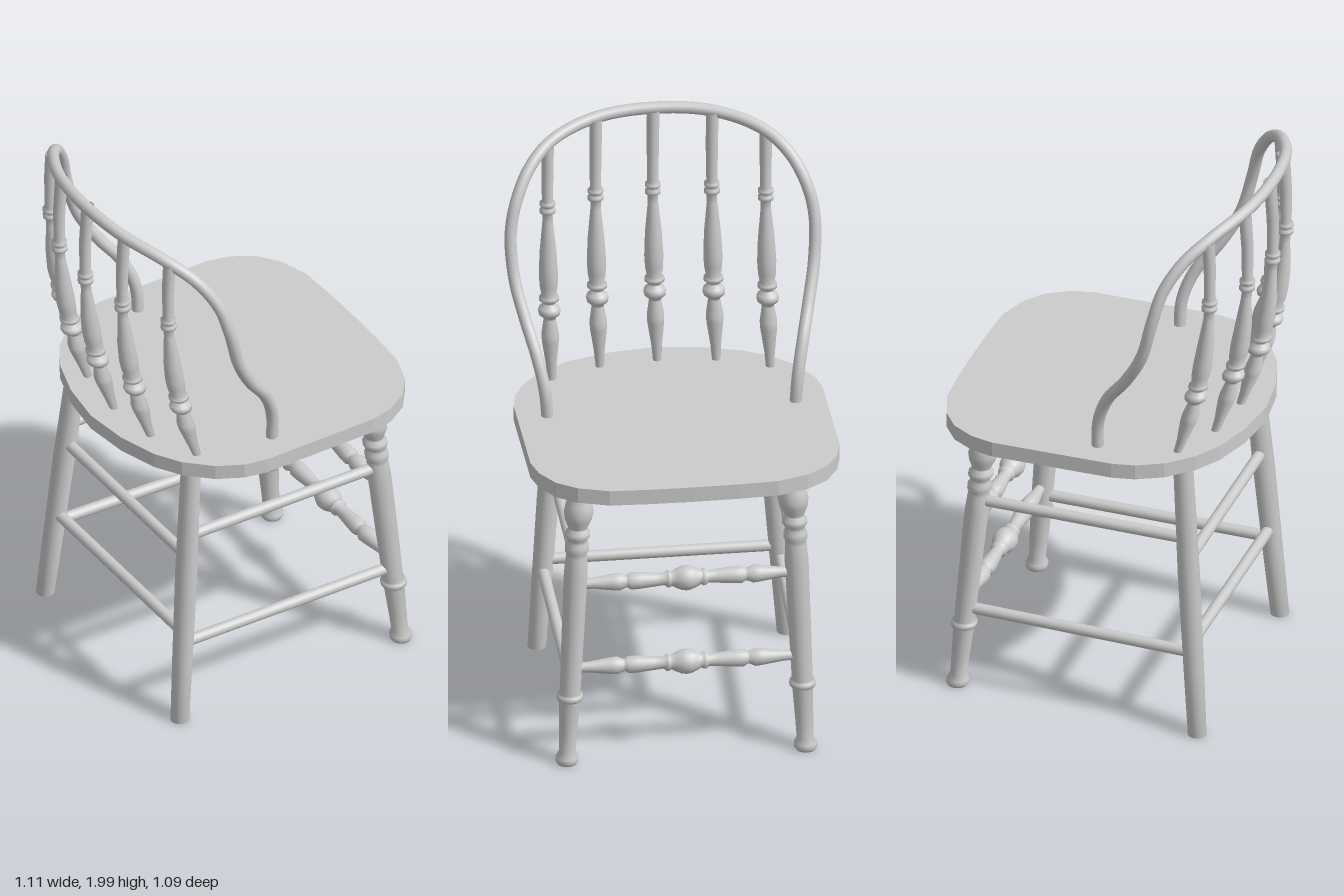
import * as THREE from 'three';

const material = new THREE.MeshStandardMaterial({ color: 0xcccccc, side: THREE.DoubleSide });
const V = (x, y, z) => new THREE.Vector3(x, y, z);

function part(name, geometry) {
  const mesh = new THREE.Mesh(geometry, material);
  mesh.name = name;
  return mesh;
}

// Turned profile [radius, y] whose axis follows path(y) -> [x, z]
function turned(name, profile, path) {
  const g = new THREE.LatheGeometry(profile.map(([r, y]) => new THREE.Vector2(r, y)), 20);
  const p = g.attributes.position;
  for (let i = 0; i < p.count; i++) {
    const [x, z] = path(p.getY(i));
    p.setX(i, p.getX(i) + x);
    p.setZ(i, p.getZ(i) + z);
  }
  return part(name, g);
}

// Turned rail between two points; profile is [radius, fraction of the length]
function rail(name, profile, a, b) {
  const length = a.distanceTo(b);
  const g = new THREE.LatheGeometry(profile.map(([r, t]) => new THREE.Vector2(r, t * length)), 18);
  const mesh = part(name, g);
  mesh.position.copy(a);
  mesh.quaternion.setFromUnitVectors(V(0, 1, 0), b.clone().sub(a).normalize());
  return mesh;
}

const frontLegProfile = [
  [0, 0.01], [0.033, 0.01], [0.039, 0.02], [0.039, 0.035], [0.029, 0.055], [0.031, 0.12], [0.036, 0.238],
  [0.044, 0.244], [0.046, 0.253], [0.044, 0.262], [0.036, 0.268], [0.039, 0.5], [0.041, 0.7], [0.037, 0.765],
  [0.035, 0.775], [0.041, 0.785], [0.041, 0.805], [0.034, 0.815], [0.036, 0.828], [0.043, 0.838],
  [0.043, 0.852], [0.033, 0.865], [0.034, 0.872], [0.046, 0.9], [0.051, 0.925], [0.046, 0.955],
  [0.032, 0.995], [0.028, 1.03],
];
const backLegProfile = [[0, 0.01], [0.032, 0.01], [0.035, 0.25], [0.038, 0.6], [0.034, 1.03]];

const halfRail = [
  [0.016, 0], [0.019, 0.08], [0.029, 0.17], [0.031, 0.2], [0.022, 0.225], [0.022, 0.235], [0.03, 0.25],
  [0.029, 0.29], [0.024, 0.36], [0.021, 0.4], [0.03, 0.415], [0.03, 0.425], [0.025, 0.435],
  [0.034, 0.455], [0.042, 0.48], [0.044, 0.5],
];
const turnedRail = [...halfRail, ...halfRail.slice(0, -1).reverse().map(([r, t]) => [r, 1 - t])];
const plainRail = [[0, 0], [0.02, 0], [0.02, 1], [0, 1]];

const spindleProfile = [
  [0.014, 1.06], [0.018, 1.12], [0.029, 1.2], [0.03, 1.225], [0.021, 1.275], [0.022, 1.282], [0.036, 1.293],
  [0.039, 1.305], [0.035, 1.317], [0.022, 1.328], [0.023, 1.335], [0.034, 1.342], [0.034, 1.352],
  [0.026, 1.36], [0.031, 1.39], [0.033, 1.43], [0.029, 1.51], [0.018, 1.62], [0.018, 1.65], [0.027, 1.656],
  [0.027, 1.667], [0.022, 1.672], [0.022, 1.678], [0.027, 1.683], [0.027, 1.692], [0.019, 1.7],
];

export function createModel() {
  const chair = new THREE.Group();
  chair.name = 'chair';

  // Seat: rounded plan, flat slab
  const half = [
    [0.555, 0], [0.553, 0.15], [0.546, 0.29], [0.51, 0.395], [0.458, 0.465], [0.38, 0.512], [0.3, 0.531],
    [-0.13, 0.531], [-0.21, 0.516], [-0.3, 0.47], [-0.385, 0.39], [-0.44, 0.3], [-0.485, 0.16], [-0.505, 0],
  ];
  const outline = [...half, ...half.slice(1, -1).reverse().map(([x, z]) => [x, -z])];
  const seat = new THREE.ExtrudeGeometry(
    new THREE.Shape(outline.map(([x, z]) => new THREE.Vector2(x, z))), { depth: 0.055, bevelEnabled: false });
  seat.rotateX(-Math.PI / 2).translate(0, 1.02, 0);
  chair.add(part('seat', seat));

  // Legs: splayed axes, [x, z] at the floor and at the seat
  const axis = (foot, top) => (y) => foot.map((f, i) => f + (top[i] - f) * (y / 1.02));
  const legs = {
    frontLeft: axis([0.474, -0.392], [0.382, -0.358]),
    frontRight: axis([0.474, 0.43], [0.382, 0.372]),
    backLeft: axis([-0.41, -0.443], [-0.33, -0.36]),
    backRight: axis([-0.41, 0.415], [-0.33, 0.36]),
  };
  for (const [name, path] of Object.entries(legs)) {
    chair.add(turned(name + 'Leg', name.startsWith('front') ? frontLegProfile : backLegProfile, path));
  }

  // Stretchers between the legs, in two tiers
  const stretcher = (name, profile, from, to, y) => {
    const [ax, az] = legs[from](y), [bx, bz] = legs[to](y);
    chair.add(rail(name, profile, V(ax, y, az), V(bx, y, bz)));
  };
  for (const y of [0.66, 0.355]) {
    stretcher('frontStretcher', turnedRail, 'frontLeft', 'frontRight', y);
    stretcher('backStretcher', plainRail, 'backLeft', 'backRight', y);
  }
  for (const y of [0.74, 0.315]) {
    stretcher('leftStretcher', plainRail, 'backLeft', 'frontLeft', y);
    stretcher('rightStretcher', plainRail, 'backRight', 'frontRight', y);
  }

  // Bent hoop of the back, mirrored about its crown
  const bow = [
    [-0.045, 1.05, 0.425], [-0.05, 1.17, 0.435], [-0.09, 1.28, 0.457], [-0.17, 1.39, 0.488],
    [-0.235, 1.51, 0.515], [-0.275, 1.66, 0.522], [-0.305, 1.77, 0.498], [-0.36, 1.865, 0.445],
    [-0.43, 1.928, 0.36], [-0.505, 1.967, 0.2], [-0.53, 1.978, 0],
  ];
  const bowPath = [...bow, ...bow.slice(0, -1).reverse().map(([x, y, z]) => [x, y, -z])];
  const curve = new THREE.CatmullRomCurve3(bowPath.map((p) => V(...p)));
  chair.add(part('backHoop', new THREE.TubeGeometry(curve, 120, 0.021, 14)));

  // Spindles curve backwards as they rise to the hoop
  for (const [z, x, top] of [[-0.375, -0.315, 1.92], [-0.2, -0.39, 1.965], [0, -0.412, 1.975],
    [0.2, -0.39, 1.965], [0.375, -0.315, 1.92]]) {
    const lean = (y) => {
      const t = y - 1.07;
      return [x - 0.339 * t + 0.245 * t * t, z];
    };
    chair.add(turned('backSpindle', [...spindleProfile, [0.021, 1.82], [0.022, top]], lean));
  }
  return chair;
}
